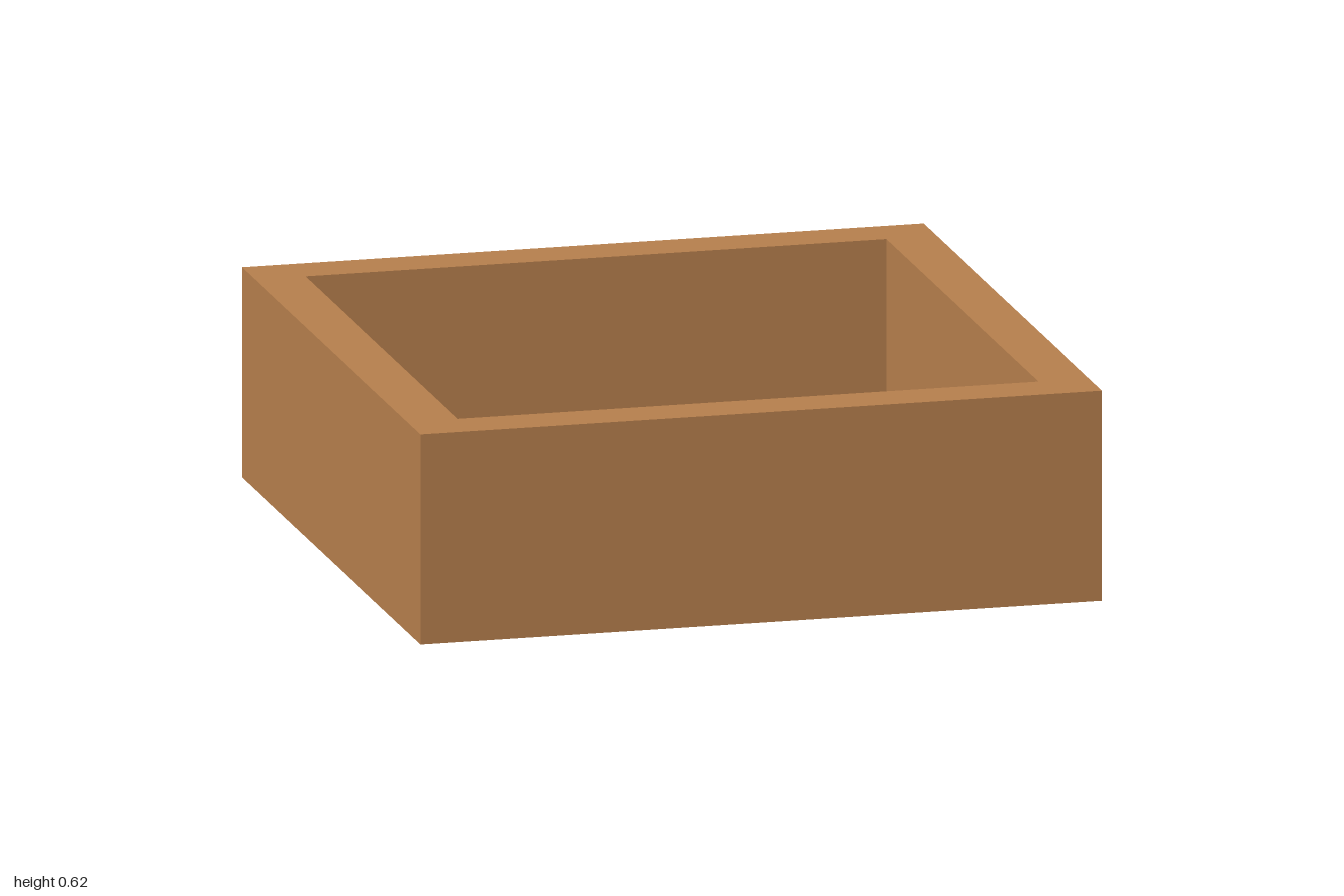
import * as THREE from 'three';

// Centred square outline with cut corners
function square(half, cut = 0, Type = THREE.Shape) {
  const a = half - cut;
  const points = cut
    ? [[half, -a], [half, a], [a, half], [-a, half], [-half, a], [-half, -a], [-a, -half], [a, -half]]
    : [[half, -half], [half, half], [-half, half], [-half, -half]];
  return new Type(points.map(([x, y]) => new THREE.Vector2(x, y)));
}

export function createModel() {
  const group = new THREE.Group();
  const material = (name, color) => {
    const m = new THREE.MeshStandardMaterial({ color });
    m.name = name;
    return m;
  };
  const wood = material('warm brown wood', 0xb57e4c);
  const pale = material('pale weathered wood', 0xb8a691);
  const grey = material('light grey panel', 0xc4c4be);
  const dark = material('dark groove', 0x4a4036);

  const add = (name, geometry, mat, x = 0, y = 0, z = 0) => {
    const mesh = new THREE.Mesh(geometry, mat);
    mesh.name = name;
    mesh.position.set(x, y, z);
    group.add(mesh);
  };
  // Horizontal slab between two heights, with an optional hole
  const slab = (name, shape, hole, y0, y1, mat) => {
    if (hole) shape.holes.push(hole);
    const g = new THREE.ExtrudeGeometry(shape, { depth: y1 - y0, bevelEnabled: false });
    g.rotateX(-Math.PI / 2);
    add(name, g, mat, 0, y0);
  };

  const height = 0.615, inner = 0.852, floorY = 0.125, baseY = 0.1;

  // Base and walls of the open box
  slab('base', square(1), square(0.53, 0.06, THREE.Path), 0, baseY, wood);
  slab('walls', square(1), square(inner, 0, THREE.Path), baseY, height, wood);

  // Inlay set flush into the underside
  slab('inlayBorder', square(0.53, 0.06), square(0.49, 0.05, THREE.Path), 0, baseY, pale);
  slab('inlayPanel', square(0.49, 0.05), null, 0, baseY, grey);

  // Floor planks with narrow dark grooves between them
  add('grooves', new THREE.BoxGeometry(inner * 2, 0.008, inner * 2), dark, 0, floorY - 0.012);
  const pitch = 0.1775, gap = 0.004;
  for (let i = 0; i < 10; i++) {
    const z0 = i === 0 ? -inner : (i - 5) * pitch + gap / 2;
    const z1 = i === 9 ? inner : (i - 4) * pitch - gap / 2;
    add('floorPlank', new THREE.BoxGeometry(inner * 2, 0.024, z1 - z0), pale, 0, floorY - 0.012, (z0 + z1) / 2);
  }
  return group;
}
